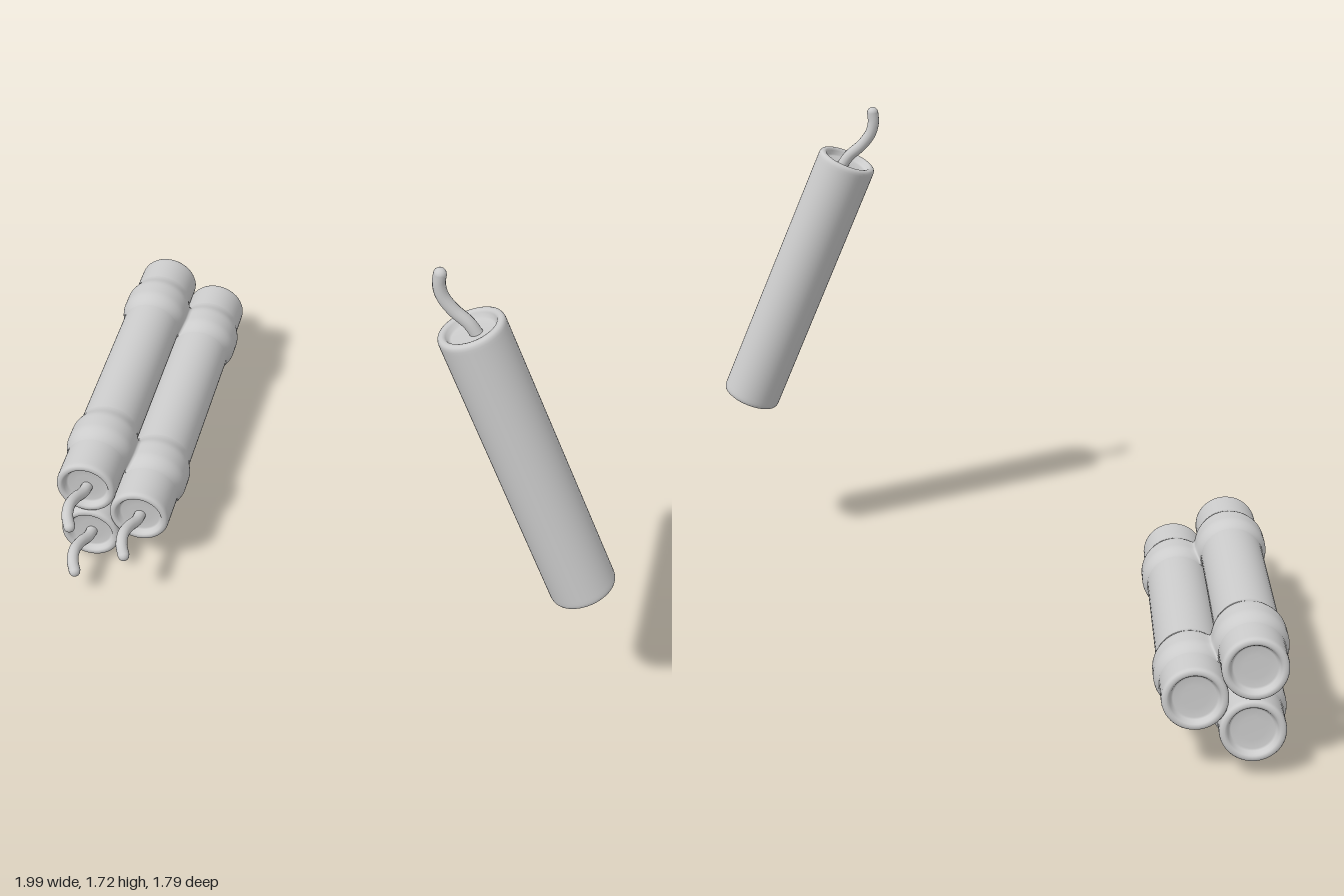
import * as THREE from 'three';

const R = 0.105;
const material = new THREE.MeshStandardMaterial({ color: 0xcccccc, side: THREE.DoubleSide });
const V = (x, y, z) => new THREE.Vector3(x, y, z);

// Tube with softly rounded rims and a shallow dished recess at both ends, along +y from 0
function stick(length) {
  const end = [[0, 0.025], [0.04, 0.025], [0.068, 0.024], [0.074, 0.02], [0.079, 0.008],
    [0.083, 0.002], [0.089, 0], [0.096, 0.001], [0.101, 0.004], [0.104, 0.01], [R, 0.018], [R, 0.03]];
  const profile = end.map(([r, y]) => new THREE.Vector2(r, y));
  for (const [r, y] of [...end].reverse()) profile.push(new THREE.Vector2(r, length - y));
  const mesh = new THREE.Mesh(new THREE.LatheGeometry(profile, 48), material);
  mesh.name = 'stick';
  return mesh;
}

// Curved cord with a rounded tip
function fuse(points) {
  const group = new THREE.Group();
  group.name = 'fuse';
  const curve = new THREE.CatmullRomCurve3(points);
  const cord = new THREE.Mesh(new THREE.TubeGeometry(curve, 28, 0.02, 14), material);
  cord.name = 'fuseCord';
  const tip = new THREE.Mesh(new THREE.SphereGeometry(0.02, 14, 10), material);
  tip.name = 'fuseTip';
  tip.position.copy(points[points.length - 1]);
  tip.scale.setScalar(0.99);
  group.add(cord, tip);
  return group;
}

// Tape following the outline of three circles, with softened valleys and a raised middle
function strap(centers, zMid) {
  const rows = 16, segs = 120, half = 0.09, k = 0.009;
  const pos = [], index = [];
  for (let i = 0; i <= rows; i++) {
    const t = (i / rows) * 2 - 1;
    const r = 0.106 + 0.015 * (1 - THREE.MathUtils.smoothstep(Math.abs(t), 0.3, 1));
    for (let j = 0; j < segs; j++) {
      const a = (j / segs) * Math.PI * 2, ux = Math.cos(a), uy = Math.sin(a);
      let sum = 0;
      for (const [cx, cy] of centers) {
        const along = cx * ux + cy * uy;
        const d = r * r - (cx * cx + cy * cy - along * along);
        if (d > 0) sum += Math.exp((along + Math.sqrt(d)) / k);
      }
      const rad = k * Math.log(sum);
      pos.push(ux * rad, uy * rad, zMid + t * half);
      if (i < rows) {
        const p = i * segs + j, q = i * segs + ((j + 1) % segs);
        index.push(p, q, q + segs, p, q + segs, p + segs);
      }
    }
  }
  const geo = new THREE.BufferGeometry();
  geo.setAttribute('position', new THREE.Float32BufferAttribute(pos, 3));
  geo.setIndex(index);
  geo.computeVertexNormals();
  const mesh = new THREE.Mesh(geo, material);
  mesh.name = 'strap';
  return mesh;
}

export function createModel() {
  const model = new THREE.Group();
  model.name = 'stickSet';

  // Bundle of three, local +z toward the fuses, origin at the front end
  const bundle = new THREE.Group();
  bundle.name = 'bundle';
  const length = 1.217;
  const centers = [[-0.0607, 0.105], [0.1213, 0], [-0.0607, -0.105]];
  for (const [x, y] of centers) {
    const body = stick(length);
    body.rotation.x = Math.PI / 2;
    body.position.set(x, y, -length);
    const cord = fuse([V(0, -0.01, -0.04), V(-0.004, -0.005, 0.01), V(-0.017, 0.012, 0.06),
      V(-0.023, 0.022, 0.11), V(-0.018, 0.015, 0.155), V(-0.004, -0.005, 0.185)]);
    cord.position.set(x, y, 0);
    bundle.add(body, cord);
  }
  for (const z of [-0.23, -1.005]) bundle.add(strap(centers, z));
  bundle.position.set(-0.798, 0.218, 0.325);
  bundle.quaternion.setFromUnitVectors(V(0, 0, 1), V(0.025, -0.05, 1.22).normalize());
  model.add(bundle);

  // Single leaning stick
  const loose = new THREE.Group();
  loose.name = 'looseStick';
  const bottom = V(0.902, 0.605, 0.788), top = V(0.513, 1.53, 0.768);
  const axis = top.clone().sub(bottom);
  const body = stick(axis.length());
  body.position.copy(bottom);
  body.quaternion.setFromUnitVectors(V(0, 1, 0), axis.normalize());
  loose.add(body, fuse([V(0.535, 1.505, 0.768), V(0.508, 1.542, 0.768), V(0.462, 1.582, 0.768),
    V(0.43, 1.625, 0.768), V(0.419, 1.665, 0.768), V(0.421, 1.7, 0.768)]));
  model.add(loose);

  return model;
}
